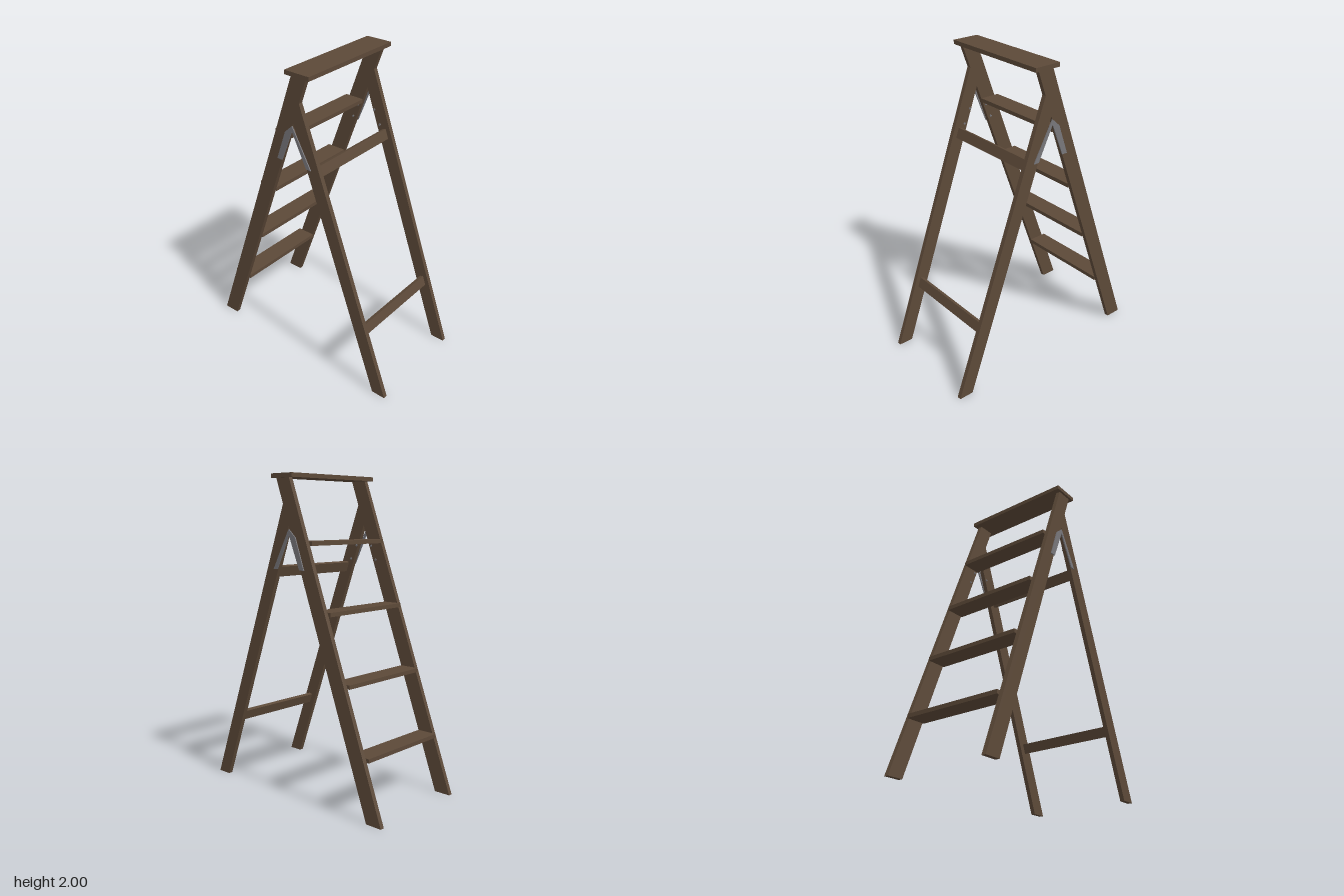
import * as THREE from 'three';

export function createModel() {
  const group = new THREE.Group();
  const wood = new THREE.MeshStandardMaterial({ color: 0x5c4938 });
  wood.name = 'brown wood';
  const steel = new THREE.MeshStandardMaterial({ color: 0x77767a });
  steel.name = 'grey steel';

  const add = (name, geometry, material, x = 0, y = 0, z = 0) => {
    const mesh = new THREE.Mesh(geometry, material);
    mesh.name = name;
    mesh.position.set(x, y, z);
    group.add(mesh);
    return mesh;
  };
  // Flat side profile in x/y, given a thickness along z
  const plate = (points, depth) => new THREE.ExtrudeGeometry(
    new THREE.Shape(points.map(([x, y]) => new THREE.Vector2(x, y))),
    { depth, bevelEnabled: false });

  // Stringers, rear legs and hinge straps, mirrored on both sides
  const stringer = plate([[-0.718, 0], [-0.61, 0], [0.11, 1.975], [0.002, 1.975]], 0.028);
  const rearLeg = plate([[0.62, 0], [0.715, 0], [0.052, 1.825], [0.006, 1.69]], 0.028);
  const strapA = plate([[-0.122, 1.43], [-0.085, 1.43], [0, 1.64], [0, 1.67], [-0.053, 1.622]], 0.007);
  const strapB = plate([[0.102, 1.43], [0.135, 1.43], [0.004, 1.667], [0, 1.67], [0, 1.64]], 0.007);
  const bolt = new THREE.CylinderGeometry(0.007, 0.007, 0.006, 8).rotateX(Math.PI / 2);
  for (const side of [1, -1]) {
    const label = side > 0 ? 'front' : 'back';
    const inner = side > 0 ? 0.331 : -0.359;
    const outer = side > 0 ? 0.359 : -0.366;
    add(label + 'Stringer', stringer, wood, 0, 0, inner);
    add(label + 'RearLeg', rearLeg, wood, 0, 0, inner);
    add(label + 'HingeStrapA', strapA, steel, 0, 0, outer);
    add(label + 'HingeStrapB', strapB, steel, 0, 0, outer);
    for (const [x, y] of [[-0.1, 1.465], [-0.062, 1.555], [0.113, 1.465], [0.066, 1.555]])
      add(label + 'HingeBolt', bolt, steel, x, y, side * 0.328);
  }

  // Treads
  const tread = new THREE.BoxGeometry(0.132, 0.025, 0.662);
  for (let i = 0; i < 4; i++)
    add('tread' + (i + 1), tread, wood, -0.537 + i * 0.1475, 0.3675 + i * 0.4067, 0);

  // Top board
  add('topBoard', new THREE.BoxGeometry(0.177, 0.026, 0.746), wood, 0.053, 1.987, 0);

  // Cross rails tilted with the rear legs
  const rail = new THREE.BoxGeometry(0.025, 0.066, 0.662);
  for (const [x, y] of [[0.515, 0.427], [0.157, 1.412]])
    add('crossRail', rail, wood, x, y, 0).rotation.z = Math.atan(0.3634);

  return group;
}
